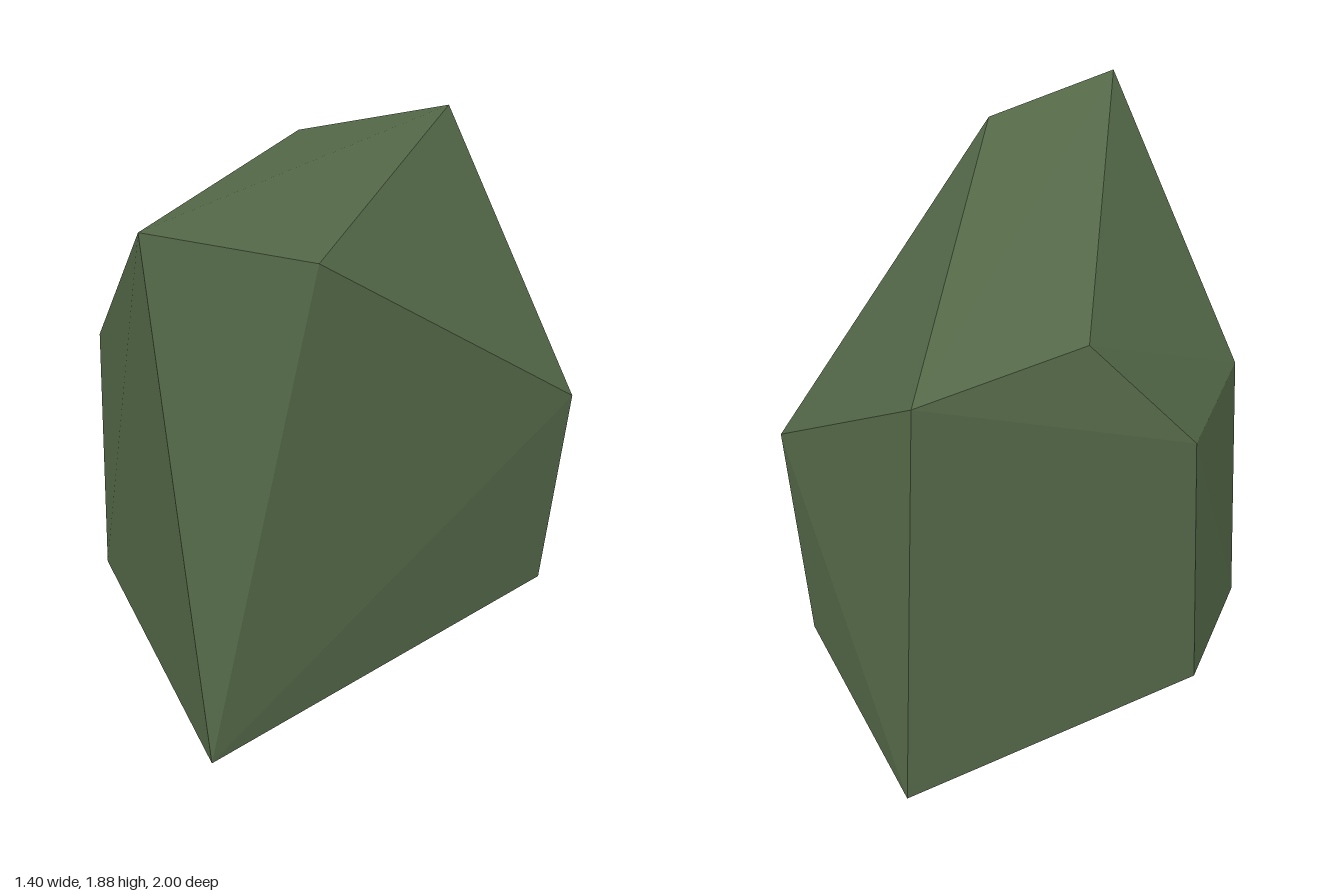
import * as THREE from 'three';
import { ConvexGeometry } from 'three/addons/geometries/ConvexGeometry.js';

export function createModel() {
  const model = new THREE.Group();
  model.name = 'rock';

  const mossGreen = new THREE.MeshStandardMaterial({ color: 0x566b4a });
  mossGreen.name = 'mossGreen';

  // Five-sided footprint
  const base = [
    [0.61, 0, 0.97], [0.61, 0, -0.59], [-0.3, 0.01, -1],
    [-0.7, 0.01, 0.14], [-0.52, 0.01, 0.66],
  ];
  // Shoulder corners where the sides break inwards
  const shoulders = [
    [0.7, 0.87, -0.58], [-0.68, 1.1, 0.07], [-0.45, 1.06, 0.65],
  ];
  // Sloping cap
  const cap = [
    [0.42, 1.88, 1], [0.685, 1.75, 0.57], [-0.335, 1.58, -0.92], [-0.5, 1.58, -0.3],
  ];

  // Faceted boulder wrapped around the corners
  const corners = [...base, ...shoulders, ...cap].map((p) => new THREE.Vector3(...p));
  const boulder = new THREE.Mesh(new ConvexGeometry(corners), mossGreen);
  boulder.name = 'boulder';
  model.add(boulder);

  return model;
}
